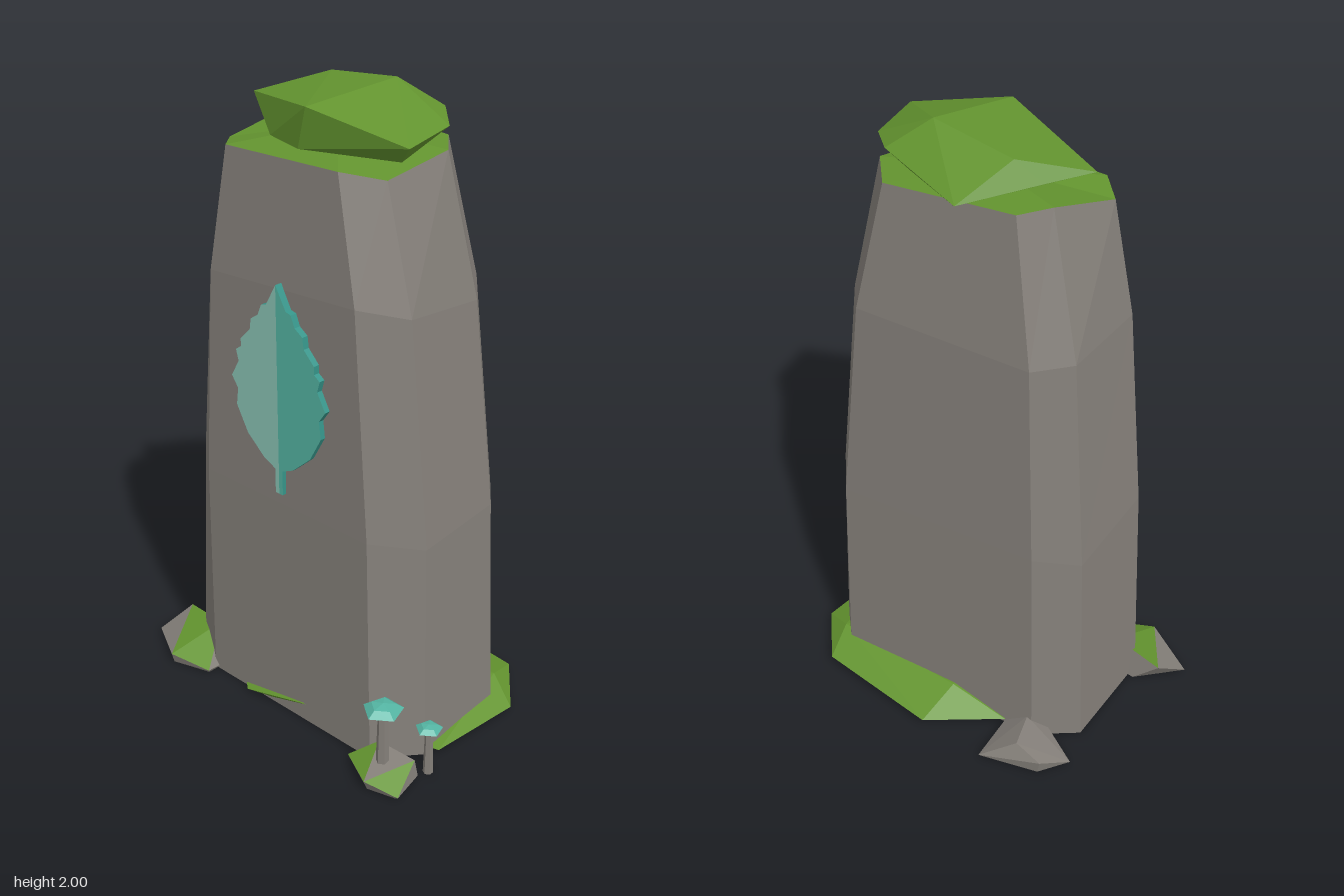
import * as THREE from 'three';
import { ConvexGeometry } from 'three/addons/geometries/ConvexGeometry.js';

const mat = (name, color) => Object.assign(new THREE.MeshStandardMaterial({ color }), { name });

export function createModel() {
  const stone = mat('stone', 0x85807a);
  const moss = mat('moss', 0x63942f);
  const teal = mat('teal', 0x54b5a3);
  const paleTeal = mat('paleTeal', 0x8ac3b5);
  const deepTeal = mat('deepTeal', 0x36958a);
  const model = new THREE.Group();

  const add = (name, geometry, material, parent = model) => {
    const mesh = new THREE.Mesh(geometry, material);
    mesh.name = name;
    parent.add(mesh);
    return mesh;
  };
  // Separate triangles give hard facets
  const facet = (g) => {
    const flat = g.index ? g.toNonIndexed() : g;
    flat.computeVertexNormals();
    return flat;
  };
  const vectors = (points) => points.map((p) => new THREE.Vector3(...p));

  // Standing stone: chamfered rectangular sections, stacked
  const sections = [
    [[-.31, 0, .29], [.39, 0, .29], [.5, 0, .16], [.495, 0, -.17], [.41, 0, -.265], [-.32, 0, -.245], [-.45, 0, -.15], [-.45, 0, .21]],
    [[-.305, .75, .29], [.37, .75, .29], [.485, .72, .16], [.48, .75, -.14], [.39, .72, -.255], [-.3, .75, -.235], [-.42, .72, -.14], [-.42, .75, .2]],
    [[-.27, 1.42, .28], [.31, 1.45, .28], [.42, 1.42, .17], [.42, 1.4, -.11], [.32, 1.42, -.23], [-.27, 1.42, -.22], [-.36, 1.42, -.12], [-.36, 1.42, .19]],
    [[-.22, 1.8, .25], [.22, 1.81, .25], [.325, 1.79, .17], [.34, 1.83, -.06], [.24, 1.83, -.18], [-.19, 1.86, -.17], [-.25, 1.86, -.08], [-.3, 1.79, .16]],
  ];
  const n = 8, top = sections.length - 1;
  const bottomCentre = n * sections.length, topCentre = bottomCentre + 1;
  const sides = [], cap = [];
  for (let i = 0; i < n; i++) {
    const j = (i + 1) % n;
    for (let s = 0; s < top; s++) {
      const a = s * n + i, b = s * n + j;
      sides.push(a, b, b + n, a, b + n, a + n);
    }
    sides.push(bottomCentre, j, i);
    cap.push(topCentre, top * n + i, top * n + j);
  }
  const body = new THREE.BufferGeometry();
  body.setFromPoints(vectors([...sections.flat(), [0, 0, 0], [0, 1.86, .02]]));
  body.setIndex([...sides, ...cap]);
  const bodyFacets = facet(body);
  bodyFacets.addGroup(0, sides.length, 0);
  bodyFacets.addGroup(sides.length, cap.length, 1);
  add('standingStone', bodyFacets, [stone, moss]);

  // Moss clump draped on the top
  add('mossCap', new ConvexGeometry(vectors([
    [-.13, 1.97, -.09], [.15, 2, -.06], [.09, 1.96, .24], [-.29, 1.91, .07], [.4, 1.89, .17],
    [-.05, 1.88, -.25], [.25, 1.92, -.15], [.35, 1.9, -.05], [-.2, 1.9, -.05],
    [.33, 1.83, .12], [-.12, 1.83, .17], [.05, 1.835, .23], [-.05, 1.84, -.1], [.22, 1.83, -.08],
  ])), moss);

  // Moss mound around the foot
  add('mossBase', new ConvexGeometry(vectors([
    [-.22, .015, -.25], [0, .02, -.41], [.42, .03, -.36], [.56, .02, -.19], [.53, .015, .13],
    [-.13, .01, .315], [-.17, .01, .28], [.45, .07, -.24], [-.02, .07, -.26], [.1, .06, .295],
  ])), moss);

  // Rocks: a facet is mossy when all its corners lie in one mossy patch
  const rock = (name, points, patches) => {
    const v = vectors(points);
    const g = new ConvexGeometry(v);
    const pos = g.attributes.position;
    const corner = new THREE.Vector3();
    for (let t = 0; t < pos.count; t += 3) {
      const ids = [0, 1, 2].map((k) => {
        corner.fromBufferAttribute(pos, t + k);
        return v.findIndex((p) => p.distanceTo(corner) < 1e-4);
      });
      g.addGroup(t, 3, patches.some((patch) => ids.every((id) => patch.includes(id))) ? 1 : 0);
    }
    add(name, g, [stone, moss]);
  };
  rock('frontRightRock', [
    [-.605, .01, .28], [-.555, .08, .175], [-.38, .1, .2], [-.43, .035, .38], [-.29, .015, .34],
    [-.58, 0, .28], [-.47, 0, .16], [-.3, 0, .18], [-.43, 0, .37], [-.3, 0, .33],
  ], [[1, 2, 3, 4]]);
  rock('backRightRock', [
    [-.49, .01, -.28], [-.43, .05, -.37], [-.34, .085, -.365], [-.3, .07, -.24], [-.36, .03, -.21],
    [-.23, .01, -.42], [-.22, .01, -.25], [-.47, 0, -.28], [-.42, 0, -.365], [-.24, 0, -.41], [-.23, 0, -.25],
  ], [[1, 2, 3, 4]]);
  rock('frontLeftRock', [
    [.345, .02, .34], [.41, .065, .27], [.545, .06, .26], [.48, .035, .415], [.585, .012, .38],
    [.37, 0, .33], [.42, 0, .25], [.55, 0, .25], [.57, 0, .375], [.48, 0, .4],
  ], [[0, 1, 3], [2, 3, 4]]);

  // Mushrooms: thin stem and faceted cap
  const mushroom = (name, x, z, base, height, r, stemR) => {
    const g = new THREE.Group();
    g.name = name;
    g.position.set(x, base, z);
    const stem = new THREE.CylinderGeometry(stemR * .75, stemR, height, 6);
    add('mushroomStem', facet(stem), stone, g).position.y = height / 2;
    const profile = [[0, -.005], [r * .55, -.003], [r, r * .22], [r * .6, r * .5], [0, r * .6]]
      .map(([px, py]) => new THREE.Vector2(px, py));
    add('mushroomCap', facet(new THREE.LatheGeometry(profile, 5)), teal, g).position.y = height - .01;
    model.add(g);
  };
  mushroom('largeMushroom', .467, .318, .03, .202, .064, .021);
  mushroom('smallMushroom', .56, .215, 0, .16, .043, .016);

  // Leaf relief, two mirrored halves
  const half = [
    [0, 1.455], [.04, 1.385], [.06, 1.38], [.075, 1.345], [.105, 1.325], [.11, 1.29], [.15, 1.25],
    [.15, 1.225], [.172, 1.21], [.162, 1.175], [.193, 1.12], [.168, 1.085], [.175, 1.03],
    [.13, .95], [.06, .89], [.015, .87], [.015, .79], [0, .79],
  ];
  for (const side of [-1, 1]) {
    const shape = new THREE.Shape(half.map(([x, y]) => new THREE.Vector2(x * side, y)));
    const g = new THREE.ExtrudeGeometry(shape, { depth: .045, bevelEnabled: false });
    add(side > 0 ? 'leafLeftHalf' : 'leafRightHalf', g, [side > 0 ? teal : paleTeal, deepTeal])
      .position.set(.027, 0, .258);
  }
  return model;
}
